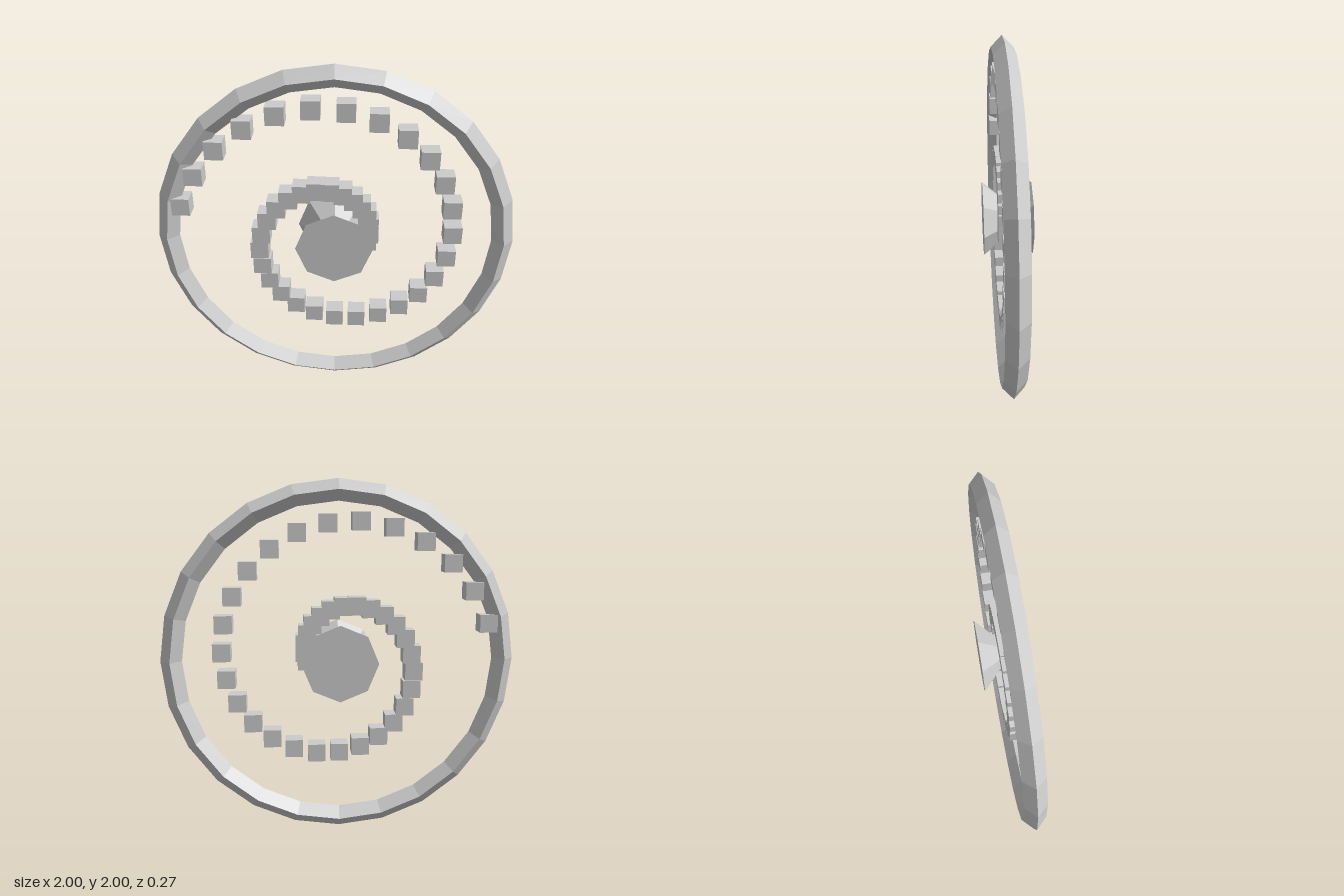
import * as THREE from 'three';

export function createModel() {
  const model = new THREE.Group();
  const grey = new THREE.MeshStandardMaterial({ color: 0xcccccc, flatShading: true });
  grey.name = 'grey';

  // Everything is laid out around the hub axis, raised to stand on y = 0
  const wheel = new THREE.Group();
  wheel.name = 'wheel';
  wheel.position.y = 1;
  model.add(wheel);

  const add = (name, geometry, parent = wheel) => {
    const mesh = new THREE.Mesh(geometry, grey);
    mesh.name = name;
    parent.add(mesh);
    return mesh;
  };

  // Outer ring with a diamond cross-section
  add('outerRing', new THREE.TorusGeometry(0.94, 0.06, 4, 24)).position.z = 0.01;

  // Eight-sided hourglass hub, wide at the front and back
  const profile = [[0, -0.136], [0.214, -0.136], [0.08, -0.015], [0.214, 0.136], [0, 0.136]]
    .map(([r, z]) => new THREE.Vector2(r, z));
  add('hub', new THREE.LatheGeometry(profile, 8).rotateX(Math.PI / 2));

  // Spiral of upright cubes: one and a half turns outwards from the hub
  const spiral = new THREE.Group();
  spiral.name = 'cubeSpiral';
  wheel.add(spiral);
  const cube = new THREE.BoxGeometry(0.1, 0.1, 0.1);
  const count = 40;
  for (let i = 0; i < count; i++) {
    const angle = (i / count) * Math.PI * 3;
    const radius = 0.183 + 0.0176 * i;
    add('spiralCube', cube, spiral)
      .position.set(radius * Math.cos(angle), radius * Math.sin(angle), 0.01);
  }

  return model;
}
